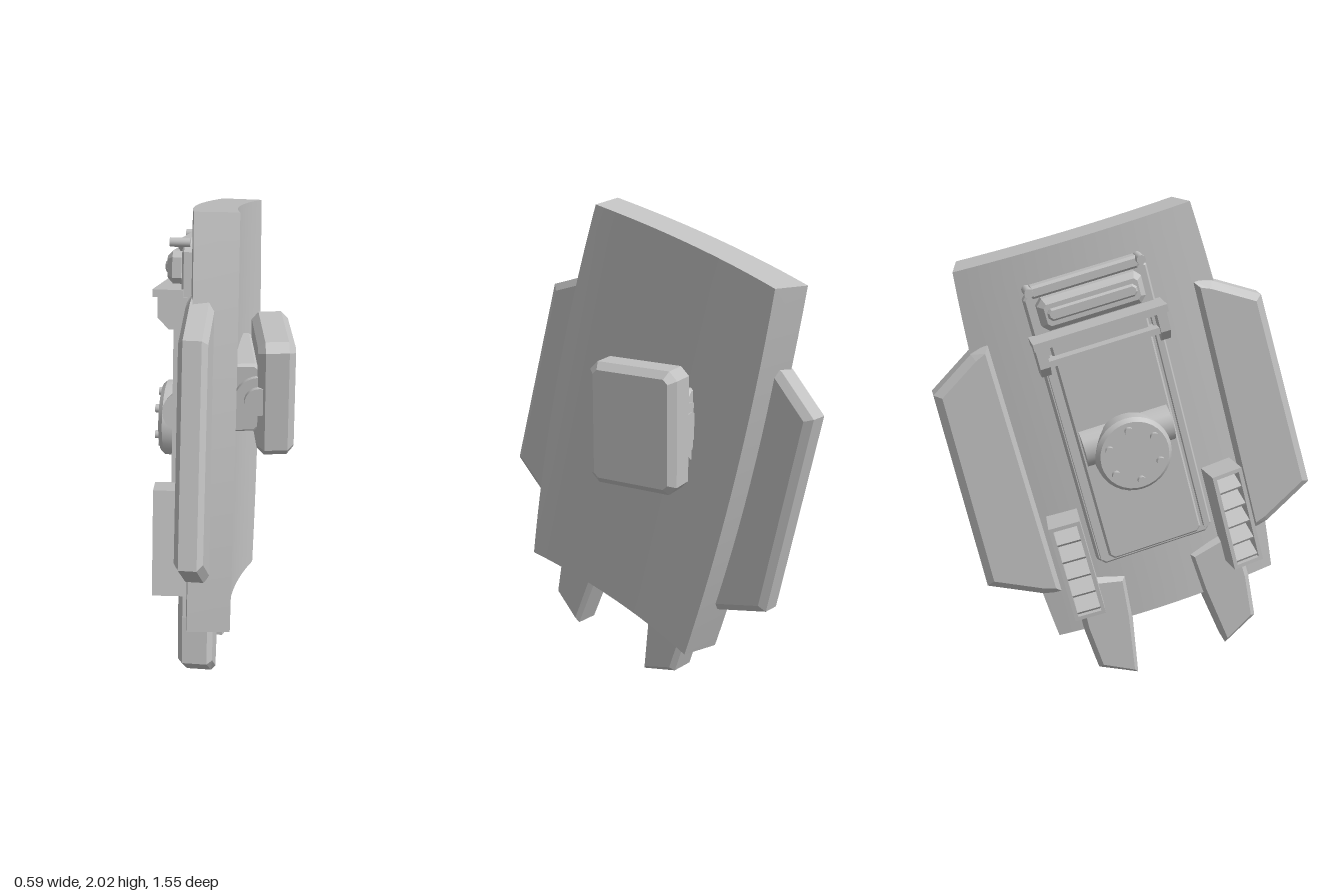
import * as THREE from 'three';
import { toCreasedNormals } from 'three/addons/utils/BufferGeometryUtils.js';

const metal = new THREE.MeshStandardMaterial({ color: 0xc0c0c0 });
metal.name = 'grey metal';

function add(parent, name, geometry, x = 0, y = 0, z = 0) {
  const mesh = new THREE.Mesh(geometry, metal);
  mesh.name = name;
  mesh.position.set(x, y, z);
  parent.add(mesh);
  return mesh;
}

const box = (w, h, d) => new THREE.BoxGeometry(w, h, d);

// Flat outline with chamfered rims, from depth n0 to n1
function slab(points, n0, n1, bevel, holes = [], rim = bevel) {
  const shape = new THREE.Shape(points.map(p => new THREE.Vector2(p[0], p[1])));
  for (const h of holes) shape.holes.push(new THREE.Path(h.map(p => new THREE.Vector2(p[0], p[1]))));
  const g = new THREE.ExtrudeGeometry(shape, {
    depth: n1 - n0 - 2 * bevel, bevelEnabled: bevel > 0, bevelThickness: bevel,
    bevelSize: rim, bevelOffset: -rim, bevelSegments: 1, curveSegments: 4,
  });
  return g.translate(0, 0, n0 + bevel);
}

// Rectangle with cut corners
function cutRect(w, h, c) {
  const x = w / 2, y = h / 2;
  return [[-x + c, -y], [x - c, -y], [x, -y + c], [x, y - c], [x - c, y], [-x + c, y], [-x, y - c], [-x, -y + c]];
}

// Curved armour plate, wider at mid height
function curvedPlate() {
  const R = 2.5, T = 0.17, H = 0.815;
  const g = new THREE.BoxGeometry(2, 2, 1, 20, 16, 1);
  const p = g.attributes.position;
  for (let i = 0; i < p.count; i++) {
    const v = p.getY(i);
    const shift = 0.008 * v;
    const a = (p.getX(i) * (0.468 + 0.037 * (1 - v * v)) + shift) / R;
    const r = R + p.getZ(i) * T;
    p.setXYZ(i, r * Math.sin(a), v * H, r * Math.cos(a) - R);
  }
  g.computeVertexNormals();
  return g;
}

// Louvred vent box
function vent() {
  const group = new THREE.Group();
  const w = 0.13, h = 0.43, x = w / 2, y = h / 2, t = 0.016;
  const rect = (a, b) => [[-a, -b], [a, -b], [a, b], [-a, b]];
  add(group, 'ventFrame', slab(rect(x, y), 0.03, 0.135, 0, [rect(x - t, y - t)]));
  add(group, 'ventBack', box(w, h, 0.05), 0, 0, 0.01);
  const pitch = (h - 2 * t) / 5;
  for (let i = 0; i < 5; i++) {
    const slat = add(group, 'ventSlat', box(w - 2 * t, 0.012, 0.1), 0, -y + t + pitch * (i + 0.45), 0.082);
    slat.rotation.x = 0.55;
  }
  return group;
}

export function createModel() {
  const model = new THREE.Group();
  model.name = 'armourPanel';

  // Tilted frame: x runs across the plate, y up it, z out of its equipment side
  const body = new THREE.Group();
  body.name = 'tiltedBody';
  const U = new THREE.Vector3(-0.176, 0.25, 0.952).normalize();
  const N = U.clone().cross(new THREE.Vector3(0.037, 0.968, -0.25)).normalize();
  const V = N.clone().cross(U);
  body.quaternion.setFromRotationMatrix(new THREE.Matrix4().makeBasis(U, V, N));
  body.position.set(-0.02, 1.1, -0.025);
  model.add(body);

  add(body, 'curvedPlate', curvedPlate());

  // Side wings, feet and vents in pairs
  for (const s of [-1, 1]) {
    const flip = pts => pts.map(p => [p[0] * s, p[1]]);
    add(body, 'sideWing', slab(flip([[0.42, -0.62], [0.5, -0.6], [0.712, -0.485], [0.685, 0.37], [0.5, 0.485], [0.42, 0.51]]), -0.045, 0.065, 0.02, [], 0.03));
    add(body, 'foot', slab(flip([[0.14, -0.62], [0.36, -0.57], [0.37, -0.8], [0.355, -1.0], [0.2, -1.085], [0.155, -0.8]]), -0.045, 0.095, 0.02), -0.012);
    const v = vent();
    v.name = 'vent';
    v.position.set(s * 0.335, -0.48, 0.062);
    v.rotation.y = s * 0.1;
    body.add(v);
  }

  // Layered equipment plates with edge rails
  add(body, 'basePlate', slab(cutRect(0.5, 1.2, 0.03), 0.03, 0.115, 0.008), 0, 0.075, 0);
  add(body, 'innerPlate', slab(cutRect(0.4, 0.98, 0.02), 0.1, 0.138, 0.008), 0, -0.015, 0);
  for (const s of [-1, 1]) add(body, 'edgeRail', box(0.025, 0.95, 0.05), s * 0.225, -0.015, 0.12);

  // Cross bracket with an open slot
  add(body, 'bracketFlange', box(0.54, 0.03, 0.12), 0, 0.485, 0.165);
  add(body, 'bracketLowerBar', box(0.48, 0.025, 0.08), 0, 0.395, 0.15);
  for (const s of [-1, 1]) {
    add(body, 'bracketEnd', slab([[0.09, 0.47], [0.205, 0.47], [0.205, 0.39], [0.16, 0.345], [0.09, 0.345]], -0.02, 0.02, 0),
      s * 0.245, 0, 0).rotation.y = -Math.PI / 2;
  }

  // Upper canister, its tray and pins
  add(body, 'canister', slab(cutRect(0.42, 0.13, 0.025), 0.1, 0.18, 0.022), 0, 0.58, 0);
  add(body, 'canisterRib', slab(cutRect(0.36, 0.05, 0.015), 0.165, 0.19, 0.008), 0, 0.58, 0);
  add(body, 'canisterTray', slab(cutRect(0.46, 0.05, 0.02), 0.08, 0.135, 0.01), 0, 0.67, 0);
  for (const s of [-1, 1]) {
    const pin = add(body, 'trayPin', new THREE.CylinderGeometry(0.018, 0.018, 0.08, 14), s * 0.225, 0.68, 0.125);
    pin.rotation.x = Math.PI / 2;
  }

  // Round hub on a half-round saddle, with a ring of bolts
  const saddle = add(body, 'hubSaddle', toCreasedNormals(new THREE.CylinderGeometry(0.08, 0.08, 0.37, 20), 0.6), 0, 0, 0.115);
  saddle.rotation.z = Math.PI / 2;
  const hubProfile = [[0, 0.1], [0.145, 0.1], [0.155, 0.14], [0.155, 0.2], [0.14, 0.217], [0, 0.217]];
  const hub = add(body, 'hub', toCreasedNormals(
    new THREE.LatheGeometry(hubProfile.map(p => new THREE.Vector2(p[0], p[1])), 32), 0.5), 0, -0.06, 0);
  hub.rotation.x = Math.PI / 2;
  for (let i = 0; i < 6; i++) {
    const a = (i + 0.5) * Math.PI / 3;
    const bolt = add(body, 'hubBolt', new THREE.CylinderGeometry(0.017, 0.017, 0.03, 12),
      0.108 * Math.cos(a), 0.108 * Math.sin(a) - 0.06, 0.22);
    bolt.rotation.x = Math.PI / 2;
  }

  // Upright pad on the hollow side, with its pivot mount
  const pad = add(model, 'pad', slab(cutRect(0.39, 0.5, 0.035), -0.075, 0.075, 0.028), 0.215, 1.18, -0.057);
  pad.rotation.y = Math.PI / 2;
  add(model, 'padMount', slab(cutRect(0.14, 0.3, 0.03), -0.24, 0.09, 0.01), 0.09, 1.18, 0);
  for (const [r, z0, z1] of [[0.1, -0.245, 0.11], [0.06, -0.25, 0.13]]) {
    const pivot = add(model, 'padPivot', new THREE.CylinderGeometry(r, r, z1 - z0, 28), 0.145, 1.18, (z0 + z1) / 2);
    pivot.rotation.x = Math.PI / 2;
  }
  return model;
}
